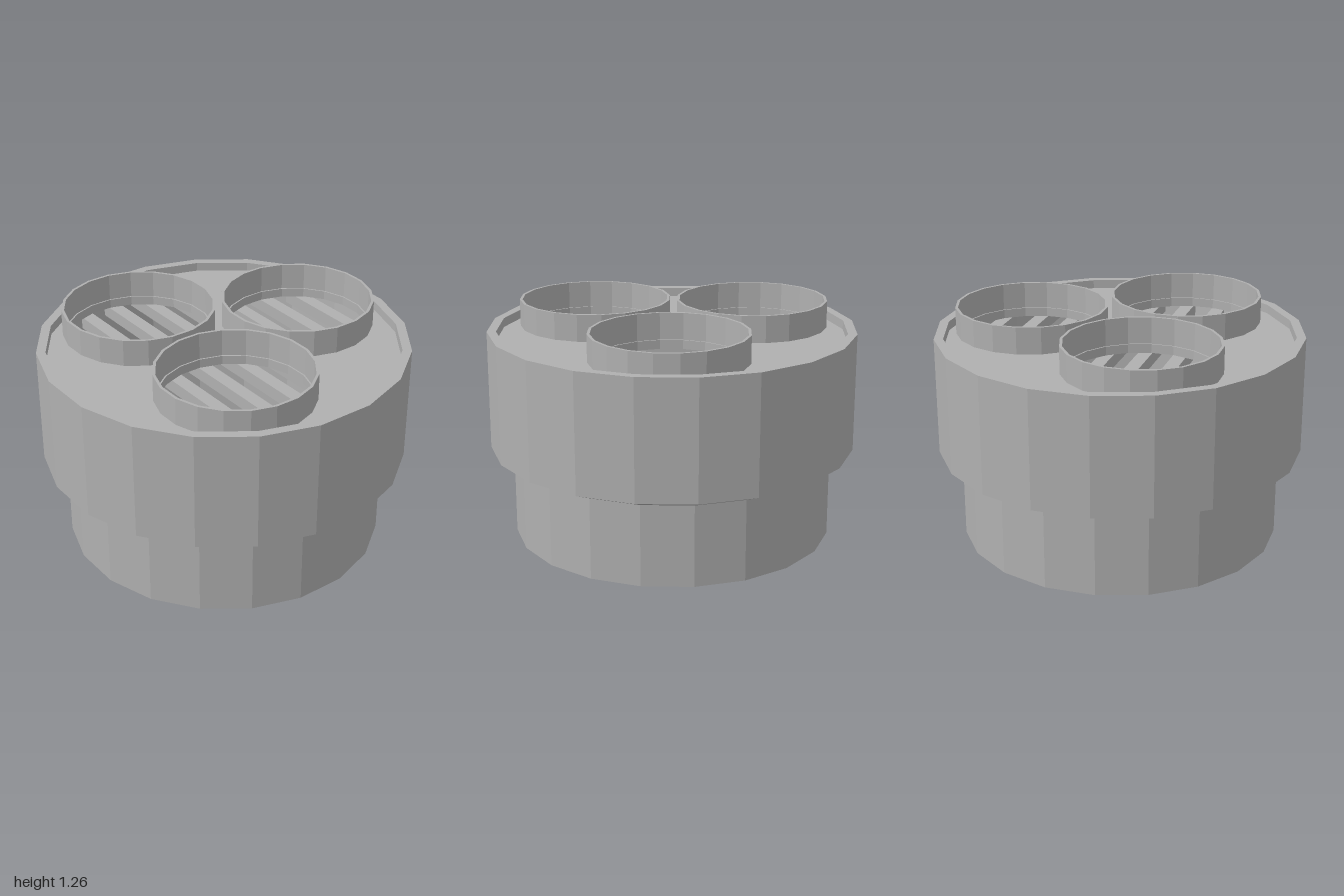
import * as THREE from 'three';

const SIDES = 20;
const STEP = Math.PI / SIDES; // half a facet, so flats face the axes
const FLAT = 1 / Math.cos(STEP); // flat radius to corner radius

// Faceted ring from a closed profile of [flat radius, height]
function facetedRing(profile) {
  const points = profile.map(([r, y]) => new THREE.Vector2(r * FLAT, y));
  return new THREE.LatheGeometry(points, SIDES, STEP, Math.PI * 2);
}

function polygon(path, cx, cy, r) {
  const points = [];
  for (let i = 0; i < SIDES; i++) {
    const a = STEP * (2 * i + 1);
    points.push(new THREE.Vector2(cx + Math.cos(a) * r * FLAT, cy + Math.sin(a) * r * FLAT));
  }
  path.setFromPoints(points);
  path.closePath();
  return path;
}

export function createModel() {
  const model = new THREE.Group();
  model.name = 'tripleNozzleHousing';
  const grey = new THREE.MeshStandardMaterial({ color: 0xb0b0b0, flatShading: true });
  grey.name = 'grey';

  const add = (name, geometry, x = 0, y = 0, z = 0) => {
    const mesh = new THREE.Mesh(geometry, grey);
    mesh.name = name;
    mesh.position.set(x, y, z);
    model.add(mesh);
  };

  // Stepped outer shell with a tapered hollow inside
  add('shell', facetedRing([
    [0.925, 1.06], [0.84, 0], [0.875, 0], [0.875, 0.45],
    [1, 0.505], [1, 1.16], [0.95, 1.16], [0.95, 1.1],
  ]));

  // Three openings around the centre
  const centres = [0, 1, 2].map((i) => {
    const a = -Math.PI / 2 + (i * Math.PI * 2) / 3;
    return [Math.cos(a) * 0.51, Math.sin(a) * 0.51];
  });

  // Sunken top plate with the openings cut through
  const plate = polygon(new THREE.Shape(), 0, 0, 0.955);
  for (const [x, z] of centres) plate.holes.push(polygon(new THREE.Path(), x, -z, 0.397));
  const plateGeometry = new THREE.ExtrudeGeometry(plate, { depth: 0.05, bevelEnabled: false });
  plateGeometry.rotateX(-Math.PI / 2);
  add('topPlate', plateGeometry, 0, 1.06, 0);

  // Raised collar around each opening
  const collar = facetedRing([[0.405, 1.1], [0.42, 1.1], [0.42, 1.26], [0.405, 1.26], [0.405, 1.1]]);
  centres.forEach(([x, z], i) => add(`collar${i + 1}`, collar, x, 0, z));

  // Parallel grille bars across the hollow, under the plate
  for (let i = 0; i < 9; i++) {
    const z = -0.8 + i * 0.1915;
    const length = 2 * Math.sqrt(0.93 ** 2 - (Math.abs(z) + 0.0375) ** 2);
    add(`grilleBar${i + 1}`, new THREE.BoxGeometry(length, 0.07, 0.075), 0, 1.02, z);
  }
  return model;
}
